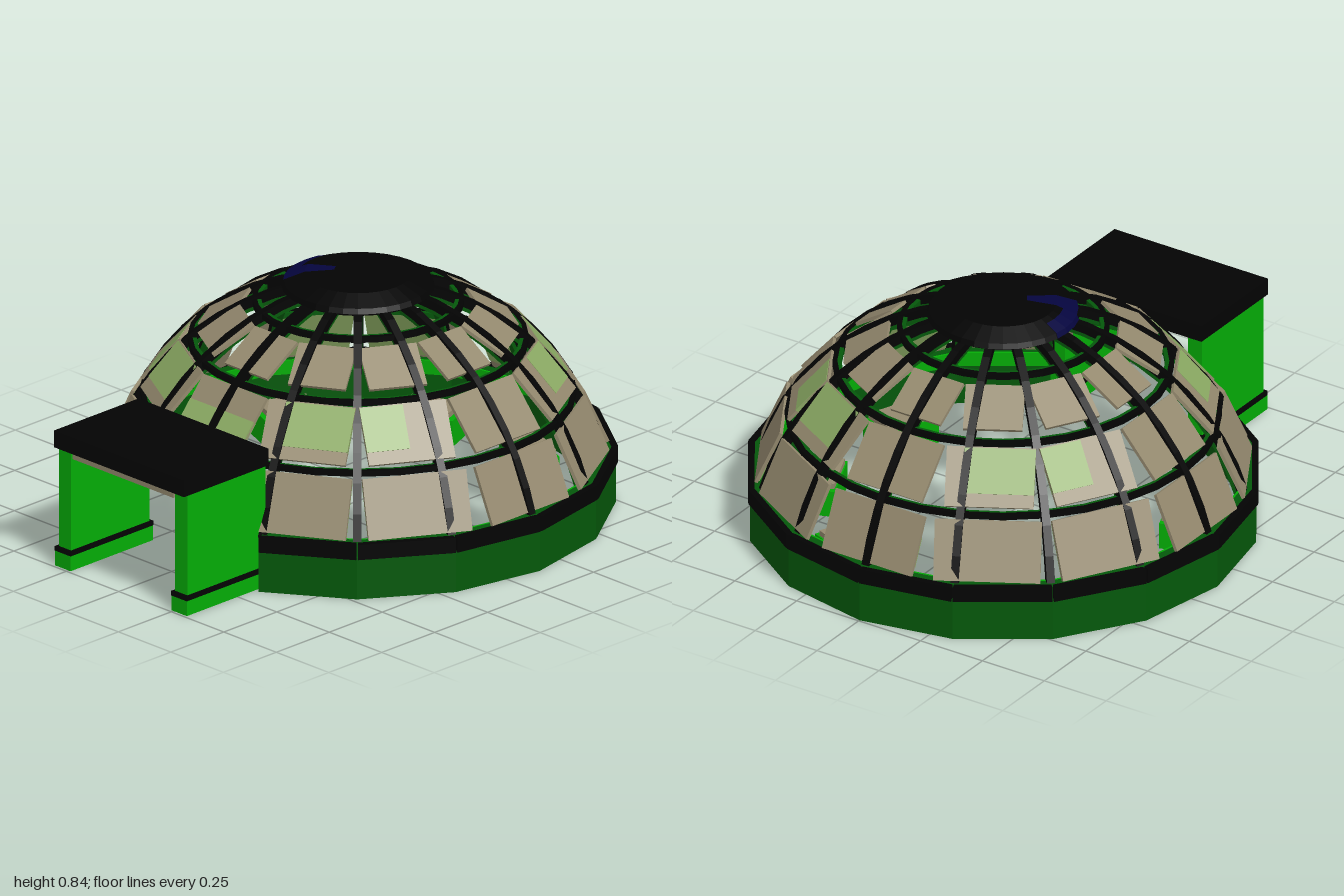
import * as THREE from 'three';

const mat = (name, color, extra = {}) => new THREE.MeshStandardMaterial({ name, color, ...extra });
const BLACK = mat('black trim', 0x030303);
const DARK = mat('dark green', 0x04580a);
const GREEN = mat('bright green', 0x04ac06);
const BEIGE = mat('beige panel', 0x94896e);
const LIGHT = mat('light green panel', 0x8cab64);
const NAVY = mat('navy', 0x05053e, { side: THREE.DoubleSide });

const STEP = Math.PI / 8;   // sixteen-sided base
const R = 0.855;            // dome sphere
const CY = -0.05;           // height of the sphere centre
const radiusAt = y => Math.sqrt(R * R - (y - CY) ** 2);
const polarAt = y => Math.acos((y - CY) / R);

function add(parent, name, geometry, material, x = 0, y = 0, z = 0) {
  const mesh = new THREE.Mesh(geometry, material);
  mesh.name = name;
  mesh.position.set(x, y, z);
  parent.add(mesh);
  return mesh;
}
const box = (w, h, d) => new THREE.BoxGeometry(w, h, d);

// points on a horizontal circle, angle 0 facing the door
function arc(r, from, to, n) {
  return Array.from({ length: n + 1 }, (_, i) => {
    const a = from + (to - from) * i / n;
    return new THREE.Vector2(r * Math.sin(a), -r * Math.cos(a));
  });
}

// horizontal slab following an arc, or a whole ring
function slab(r0, r1, y0, y1, from, to, n, whole = false) {
  const outer = arc(r1, from, to, n);
  const inner = arc(r0, from, to, n);
  let shape;
  if (whole) {
    shape = new THREE.Shape(outer.slice(0, -1));
    shape.holes.push(new THREE.Path(inner.slice(0, -1)));
  } else {
    shape = new THREE.Shape([...outer, ...inner.reverse()]);
  }
  const g = new THREE.ExtrudeGeometry(shape, { depth: y1 - y0, bevelEnabled: false });
  return g.rotateX(-Math.PI / 2).translate(0, y0, 0);
}

// curved vertical rib between two sphere radii
function rib(r0, r1, yStart, width) {
  const t0 = polarAt(yStart), t1 = 0.22, n = 9;
  const curve = r => Array.from({ length: n + 1 }, (_, i) => {
    const t = t0 + (t1 - t0) * i / n;
    return new THREE.Vector2(r * Math.sin(t), CY + r * Math.cos(t));
  });
  const shape = new THREE.Shape([...curve(r1), ...curve(r0).reverse()]);
  return new THREE.ExtrudeGeometry(shape, { depth: width, bevelEnabled: false })
    .translate(0, 0, -width / 2);
}

function lathe(points, segments, start = 0, length = Math.PI * 2) {
  const g = new THREE.LatheGeometry(points.map(p => new THREE.Vector2(...p)), segments, start, length)
    .toNonIndexed();
  g.computeVertexNormals();
  return g;
}

function buildBase(dome) {
  // wall and rim run round the dome, leaving one side open for the door
  const from = STEP, to = STEP * 15;
  add(dome, 'baseWall', slab(0.81, 0.865, 0, 0.15, from, to, 14), DARK);
  add(dome, 'baseLedge', slab(0.814, 0.85, 0.15, 0.195, from, to, 14), DARK);
  add(dome, 'baseInnerBand', slab(0.806, 0.814, 0.145, 0.195, from, to, 14), GREEN);
  for (let i = 1; i < 15; i++) {
    add(dome, 'rimSegment', slab(0.85, 0.872, 0.145, 0.2, i * STEP + 0.003, (i + 1) * STEP - 0.003, 1), BLACK);
  }
}

function buildFrame(dome) {
  for (let i = 0; i < 16; i++) {
    const start = i === 0 ? 0.42 : 0.18;   // the door interrupts the front rib
    const turn = i * STEP - Math.PI / 2;
    add(dome, 'ribOuter', rib(0.838, 0.868, start, 0.028), BLACK).rotation.y = turn;
    add(dome, 'ribInner', rib(0.824, 0.838, start, 0.022), DARK).rotation.y = turn;
  }
  for (const y of [0.4, 0.59, 0.73]) {
    const r = radiusAt(y);
    add(dome, 'ringOuter', slab(r - 0.01, r + 0.006, y - 0.01, y + 0.01, 0, Math.PI * 2, 32, true), BLACK);
    add(dome, 'ringInner', slab(r - 0.024, r - 0.01, y - 0.011, y + 0.008, 0, Math.PI * 2, 32, true), DARK);
  }
}

function buildPanels(dome) {
  // bottom, top and width of each row
  const rows = [[0.2, 0.39, 0.36], [0.425, 0.582, 0.3], [0.622, 0.714, 0.2]];
  rows.forEach(([y0, y1, w], row) => {
    const t0 = polarAt(y0), t1 = polarAt(y1), t = (t0 + t1) / 2;
    const h = 2 * R * Math.sin((t0 - t1) / 2);
    for (let i = 0; i < 12; i++) {
      if (row === 0 && i === 0) continue;   // doorway
      const spoke = new THREE.Group();
      spoke.name = 'panelSpoke';
      spoke.rotation.y = i * Math.PI / 6;
      dome.add(spoke);
      const panel = new THREE.Group();
      panel.name = 'panel';
      panel.position.set(0, CY + 0.85 * Math.cos(t), 0.85 * Math.sin(t));
      panel.rotation.x = t - Math.PI / 2;
      spoke.add(panel);
      add(panel, 'panelPlate', box(w, h, 0.012), BEIGE);
      const diagonal = i % 3 !== 0;
      const side = i % 3 === 1 ? 1 : -1;
      // tinted areas beside each diagonal, above the door and inside the lowest row
      if (row === 1 && diagonal) {
        const part = [1, 5, 7, 11].includes(i) ? 0.8 : 0.5;
        add(panel, 'panelTint', box(w * part, h * 0.76, 0.016), LIGHT, side * w * (1 - part) / 2, h * 0.1, 0);
      } else if (row === 1 && i === 0) {
        add(panel, 'panelTint', box(w, h * 0.55, 0.016), LIGHT, 0, -h * 0.225, 0);
      } else if (row === 0 && diagonal) {
        add(panel, 'panelInnerTint', box(w * 0.8, h * 0.9, 0.004), LIGHT, side * w * 0.1, 0, -0.007);
      } else if (row === 0 && i === 6) {
        add(panel, 'panelInnerTint', box(w * 0.4, h * 0.5, 0.004), LIGHT, w * 0.3, -h * 0.1, -0.007);
      }
    }
  });
}

function buildCap(dome) {
  const slope = [[0.252, 0.802], [0.18, 0.831], [0.08, 0.839]];
  const turn = Math.PI / 16;
  add(dome, 'cap', lathe([[0, 0.768], [0.235, 0.768], [0.257, 0.782], [0.25, 0.8], [0.18, 0.828], [0.06, 0.838], [0, 0.838]], 32), BLACK);
  add(dome, 'capPatchWedge', lathe(slope, 2, turn * 26, turn * 2), NAVY);
  add(dome, 'capPatchEdge', lathe([[0.259, 0.784], [0.252, 0.802], [0.205, 0.821]], 3, turn * 23, turn * 3), NAVY);
}

function buildBenches(dome) {
  for (let i = 0; i < 6; i++) {
    const bench = new THREE.Group();
    bench.name = 'bench';
    bench.rotation.y = STEP * (3 + 2 * i);
    dome.add(bench);
    add(bench, 'benchBox', box(0.22, 0.095, 0.13), GREEN, 0, 0.0475, 0.62);
    add(bench, 'benchSeat', box(0.18, 0.02, 0.12), BEIGE, 0, 0.105, 0.62);
  }
}

function buildPorch(model) {
  const porch = new THREE.Group();
  porch.name = 'porch';
  model.add(porch);
  add(porch, 'porchRoof', box(0.62, 0.06, 0.4), BLACK, 0, 0.463, 0.8);
  add(porch, 'porchBeam', box(0.48, 0.03, 0.05), BEIGE, 0, 0.419, 0.955);
  for (const s of [1, -1]) {
    add(porch, 'porchWall', box(0.058, 0.433, 0.37), GREEN, s * 0.277, 0.2165, 0.795);
    add(porch, 'porchPlinth', box(0.074, 0.055, 0.39), GREEN, s * 0.277, 0.0275, 0.795);
    add(porch, 'plinthTrim', box(0.076, 0.016, 0.392), BLACK, s * 0.277, 0.062, 0.795);
  }
}

export function createModel() {
  const model = new THREE.Group();
  model.name = 'domeGreenhouse';
  const dome = new THREE.Group();
  dome.name = 'dome';
  dome.position.z = -0.13;
  model.add(dome);
  buildBase(dome);
  buildFrame(dome);
  buildPanels(dome);
  buildCap(dome);
  buildBenches(dome);
  buildPorch(model);
  return model;
}
